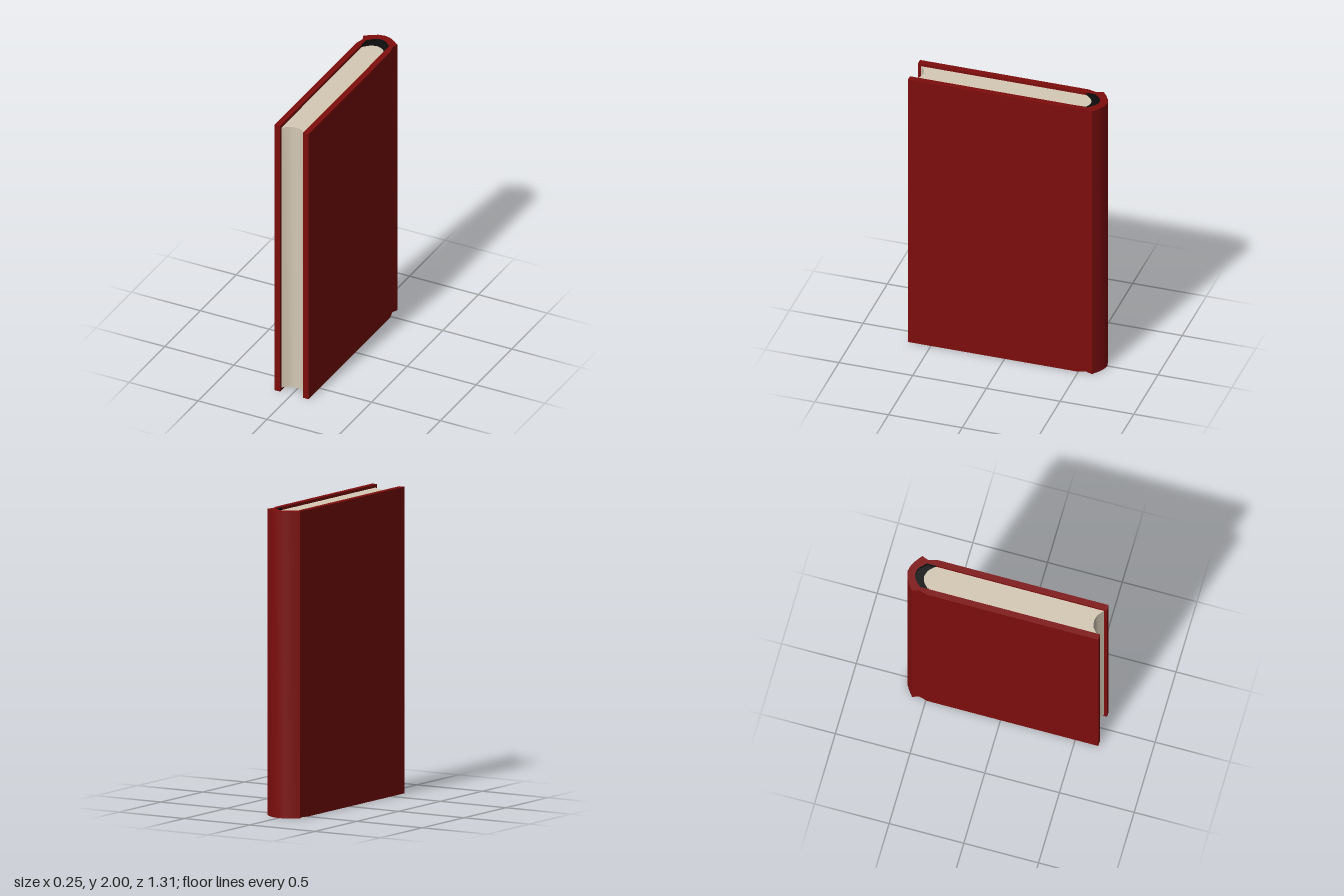
import * as THREE from 'three';
import { toCreasedNormals } from 'three/addons/utils/BufferGeometryUtils.js';

// Mirror a half outline (x > 0, points [x, z]) that runs towards the centre line.
const mirrored = (half) => [
  ...half,
  ...half.filter(([x]) => x > 0).reverse().map(([x, z]) => [-x, z]),
];

// Upright prism from a plan outline of [x, z] points.
function prism(points, bottom, top) {
  const shape = new THREE.Shape(points.map(([x, z]) => new THREE.Vector2(x, -z)));
  const geo = new THREE.ExtrudeGeometry(shape, { depth: top - bottom, bevelEnabled: false });
  geo.rotateX(-Math.PI / 2).translate(0, bottom, 0);
  return toCreasedNormals(geo, 0.65);
}

export function createModel() {
  const book = new THREE.Group();
  book.name = 'book';

  const red = new THREE.MeshStandardMaterial({ color: 0x7e0d0d });
  red.name = 'red cover';
  const cream = new THREE.MeshStandardMaterial({ color: 0xd5c9b5 });
  cream.name = 'cream paper';
  const black = new THREE.MeshStandardMaterial({ color: 0x0d0d0d });
  black.name = 'black lining';

  const add = (name, geometry, material) => {
    const mesh = new THREE.Mesh(geometry, material);
    mesh.name = name;
    book.add(mesh);
  };

  // Half curves, from the side to the centre line
  const spineOuter = [[0.124, -0.592], [0.085, -0.622], [0.045, -0.646], [0, -0.656]];
  const spineInner = [[0.084, -0.55], [0.045, -0.589], [0.022, -0.601], [0, -0.604]];
  const pageBack = [[0.084, -0.492], [0.045, -0.531], [0.022, -0.541], [0, -0.546]];
  const pageFront = [[0.084, 0.634], [0.045, 0.602], [0.022, 0.595], [0, 0.591]];

  // Cover: two boards, hinge grooves and rounded spine in one piece
  const outer = mirrored([[0.124, 0.655], [0.124, -0.49], [0.108, -0.55], ...spineOuter]);
  const inner = mirrored([[0.084, 0.655], ...spineInner]);
  const cover = prism([...outer, ...inner.reverse()], 0, 2);

  // The hinge grooves shade evenly with the boards
  const pos = cover.attributes.position, nor = cover.attributes.normal;
  for (let i = 0; i < pos.count; i++) {
    if (Math.abs(pos.getX(i)) > 0.1 && Math.abs(nor.getX(i)) > 0.85) {
      nor.setXYZ(i, Math.sign(nor.getX(i)), 0, 0);
    }
  }
  add('cover', cover, red);

  // Page block with rounded back and hollow fore edge
  add('pages', prism([...mirrored(pageFront), ...mirrored(pageBack).reverse()], 0.02, 1.98), cream);

  // Binding that fills the gap between the pages and the spine
  add('binding', prism([...mirrored(spineInner), ...mirrored(pageBack).reverse()], 0.021, 1.979), black);

  // Thin lining on the inside of the spine
  const liningOuter = [[0.084, -0.492], ...spineInner];
  const liningInner = liningOuter.map(([x, z]) => [x * 0.96, z + 0.003]);
  add('spineLining', prism([...mirrored(liningOuter), ...mirrored(liningInner).reverse()], 0.001, 1.999), black);

  return book;
}
